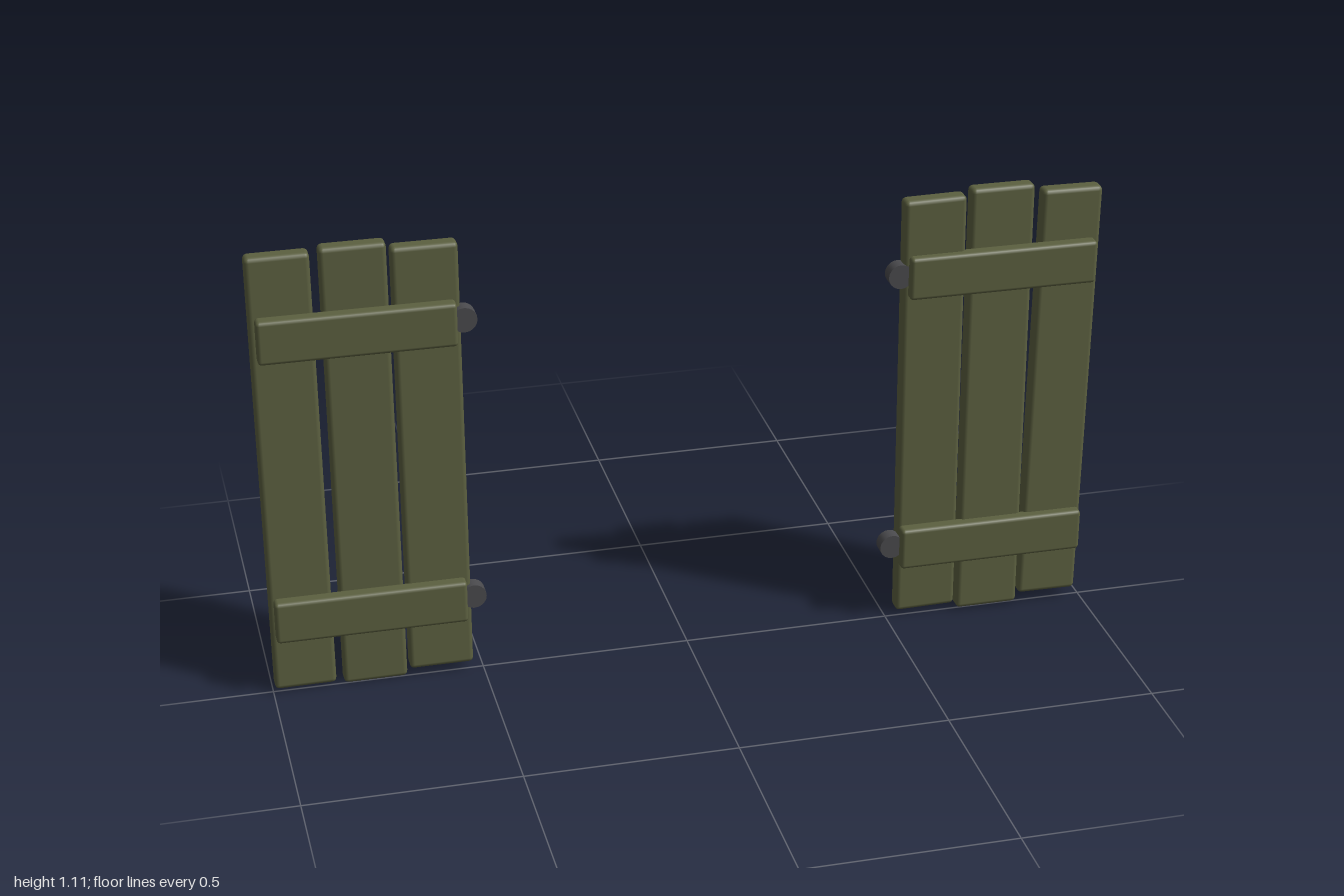
import * as THREE from 'three';
import { RoundedBoxGeometry } from 'three/addons/geometries/RoundedBoxGeometry.js';

const wood = new THREE.MeshStandardMaterial({ color: 0x5c6040 });
const iron = new THREE.MeshStandardMaterial({ color: 0x4a4a4d });

// Upright board leaning between a bottom and a top centre [x, y, z]
function plank(width, bottom, top) {
  const a = new THREE.Vector3(...bottom), b = new THREE.Vector3(...top);
  const dir = b.clone().sub(a);
  const mesh = new THREE.Mesh(new RoundedBoxGeometry(width, dir.length(), 0.043, 2, 0.011), wood);
  mesh.position.copy(a).add(b).multiplyScalar(0.5);
  mesh.quaternion.setFromUnitVectors(new THREE.Vector3(0, 1, 0), dir.normalize());
  mesh.name = 'plank';
  return mesh;
}

// Horizontal board across the front of the planks
function batten(x0, x1, y) {
  const mesh = new THREE.Mesh(new RoundedBoxGeometry(x1 - x0, 0.105, 0.038, 2, 0.009), wood);
  mesh.position.set((x0 + x1) / 2, y, 0.021);
  mesh.name = 'batten';
  return mesh;
}

// Round hinge pin at the window side, axis front to back
function hinge(x, y) {
  const mesh = new THREE.Mesh(new THREE.CylinderGeometry(0.03, 0.03, 0.033, 20), iron);
  mesh.rotation.x = Math.PI / 2;
  mesh.position.set(x, y, 0.002);
  mesh.name = 'hinge';
  return mesh;
}

function shutter(name, planks, battenX, hingeX) {
  const group = new THREE.Group();
  group.name = name;
  for (const p of planks) group.add(plank(...p));
  for (const y of [0.203, 0.913]) {
    group.add(batten(battenX[0], battenX[1], y), hinge(hingeX, y + 0.002));
  }
  return group;
}

export function createModel() {
  const model = new THREE.Group();
  model.name = 'windowShutters';
  model.add(
    shutter('rightShutter', [
      [0.145, [-0.923, 0.012, -0.012], [-0.928, 1.105, -0.018]],
      [0.151, [-0.757, 0.004, -0.016], [-0.76, 1.112, -0.02]],
      [0.152, [-0.6, 0.024, -0.01], [-0.6, 1.097, -0.02]],
    ], [-0.987, -0.537], -0.519),
    shutter('leftShutter', [
      [0.149, [0.602, 0.016, -0.019], [0.586, 1.102, 0]],
      [0.154, [0.756, 0.01, -0.004], [0.756, 1.108, -0.02]],
      [0.146, [0.911, 0.03, -0.004], [0.925, 1.091, -0.014]],
    ], [0.525, 0.981], 0.507),
  );
  return model;
}
